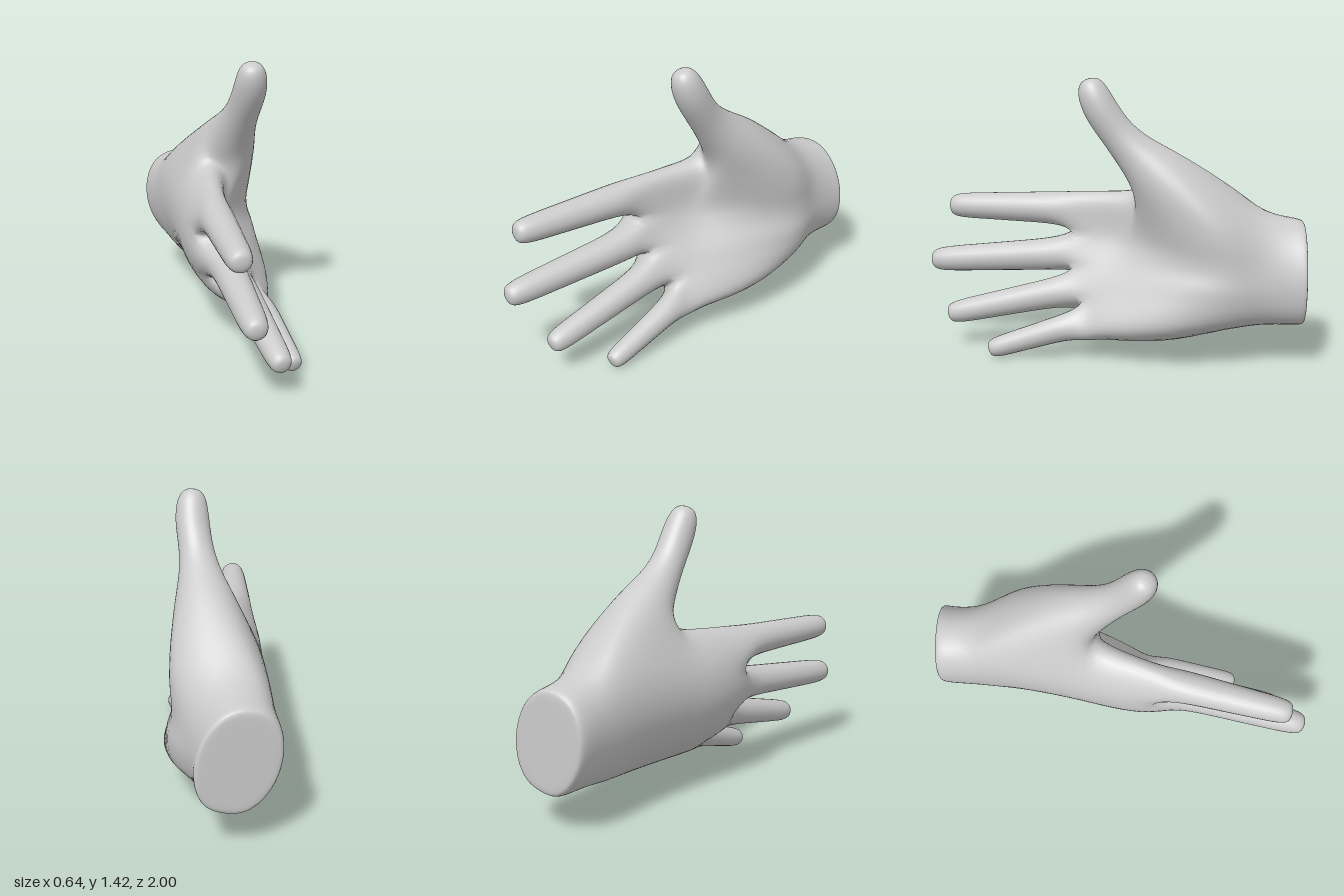
import * as THREE from 'three';

const V = (x, y, z) => new THREE.Vector3(x, y, z);
const mean = (pts) => pts.reduce((s, p) => s.add(p), V(0, 0, 0)).divideScalar(pts.length);

// Palm and wrist sections, wrist first:
// z, top y, bottom y, x at top / middle / bottom, half thickness, cut slant, thumb ball, heel
const SECTIONS = [
  [-0.955, 0.67, 0.25, -0.165, -0.12, -0.065, 0.165, 0.26, 0, 0],
  [-0.955, 0.715, 0.205, -0.175, -0.12, -0.055, 0.197, 0.26, 0, 0],
  [-0.9, 0.725, 0.2, -0.175, -0.12, -0.055, 0.197, 0.22, 0, 0],
  [-0.75, 0.752, 0.2, -0.13, -0.088, -0.035, 0.2, 0.1, 0.01, 0.01],
  [-0.61, 0.87, 0.18, -0.06, -0.072, 0, 0.2, 0, 0.13, 0.12],
  [-0.37, 0.875, 0.145, -0.02, -0.07, 0.16, 0.17, 0, 0.135, 0.1],
  [-0.13, 0.84, 0.13, -0.01, -0.08, 0.19, 0.135, 0, 0.01, 0.08],
  [0, 0.825, 0.128, -0.025, -0.085, 0.195, 0.125, 0, 0, 0.055],
  [0.15, 0.815, 0.112, -0.04, -0.065, 0.215, 0.112, 0, 0, 0.015],
];
// Columns run from the index side to the little finger, two per finger
const COLUMNS = [0, 0.15, 0.3, 0.45, 0.59, 0.7, 0.81, 0.9, 1];
const KNUCKLE_Z = [0.2, 0.22, 0.22, 0.22, 0.2, 0.17, 0.105, 0.1, 0.08];
// How far each column follows the swellings of the thumb ball and the heel of the hand
const BALL = [0.5, 1, 1, 0.5, 0.1, 0, 0, 0, 0];
const HEEL = [0, 0, 0, 0.3, 0.7, 1, 1, 1, 0.8];
const RING = 18;
const THUMB_ROW = 4; // the thumb grows from the gap between sections 4 and 6

// Fingers: base point, tip point, base radius, tip radius
const FINGERS = [
  [V(-0.066, 0.72, 0.32), V(-0.033, 0.705, 0.91), 0.083, 0.062],
  [V(-0.022, 0.484, 0.32), V(0.026, 0.414, 1.0), 0.083, 0.062],
  [V(0.075, 0.307, 0.28), V(0.17, 0.168, 0.85), 0.076, 0.057],
  [V(0.192, 0.165, 0.19), V(0.279, 0.034, 0.58), 0.066, 0.049],
];
const THUMB = [
  [V(0.067, 0.95, -0.255), 0.15],
  [V(0.09, 1.045, -0.15), 0.105],
  [V(0.115, 1.15, -0.055), 0.081],
  [V(0.14, 1.27, 0.025), 0.085],
  [V(0.143, 1.37, 0.07), 0.074],
  [V(0.137, 1.42, 0.085), 0.038],
];

// One closed ring: down the back of the hand, then up the palm side
function sectionRing([z, top, bottom, xt, xm, xb, half, slant, ball, heel], last) {
  const back = [], front = [];
  COLUMNS.forEach((s, c) => {
    const x = xt * 2 * (s - 0.5) * (s - 1) + xm * 4 * s * (1 - s) + xb * 2 * s * (s - 0.5);
    const dx = xt * (4 * s - 3) + xm * (4 - 8 * s) + xb * (4 * s - 1);
    const y = top + (bottom - top) * s, dy = bottom - top;
    const w = half * Math.sqrt(1.15 - (2 * s - 1) ** 2) / 1.07 / Math.hypot(dx, dy);
    const at = (side, push) => {
      const px = x + side * dy * w + push;
      return V(px, y - side * dx * w, last ? KNUCKLE_Z[c] : z - slant * (px + 0.12));
    };
    back.push(at(1, 0));
    front.unshift(at(-1, ball * BALL[c] + heel * HEEL[c]));
  });
  return [...back, ...front];
}

// Coarse cage of the whole hand: one continuous skin
function buildCage() {
  const verts = [], faces = [];
  const add = (pts) => pts.map((p) => verts.push(p) - 1);
  const bridge = (a, b, skip = []) => a.forEach((v, k) => {
    const n = (k + 1) % a.length;
    if (!skip.includes(k)) faces.push([v, a[n], b[n], b[k]]);
  });

  // Grow a finger from a loop of existing corners through [centre, radius] stations
  const grow = (loop, stations) => {
    const n = loop.length, step = 2 * Math.PI / n;
    const base = mean(loop.map((i) => verts[i]));
    const path = [base, ...stations.map((s) => s[0])];
    const scale = 3 / (2 + Math.cos(step)); // makes up for the shrinkage of smoothing
    let start = null, previous = loop;
    stations.forEach(([centre, radius], i) => {
      const axis = path[Math.min(i + 2, path.length - 1)].clone().sub(path[i]).normalize();
      const u = V(1, 0, 0).addScaledVector(axis, -axis.x).normalize();
      const v = axis.clone().cross(u);
      if (start === null) {
        // Line the first ring up with the loop, so the skin does not twist
        let sin = 0, cos = 0;
        loop.forEach((id, k) => {
          const d = verts[id].clone().sub(base);
          const a = Math.atan2(d.dot(v), d.dot(u)) - k * step;
          sin += Math.sin(a);
          cos += Math.cos(a);
        });
        start = Math.atan2(sin, cos);
      }
      const ring = add(loop.map((_, k) => centre.clone()
        .addScaledVector(u, Math.cos(start + k * step) * radius * scale)
        .addScaledVector(v, Math.sin(start + k * step) * radius * scale)));
      bridge(previous, ring);
      previous = ring;
    });
    faces.push(previous);
  };

  // Wrist and palm, open where the thumb starts
  const rings = SECTIONS.map((s, i) => add(sectionRing(s, i === SECTIONS.length - 1)));
  for (let j = 0; j + 1 < rings.length; j++) {
    const open = j === THUMB_ROW || j === THUMB_ROW + 1;
    bridge(rings[j], rings[j + 1], open ? [0, 15, 16, 17] : []);
  }
  faces.push([...rings[0]].reverse());

  // Four fingers
  const end = rings[rings.length - 1];
  FINGERS.forEach(([from, to, r0, r1], i) => {
    const c = 2 * i;
    const loop = [c, c + 1, c + 2, RING - 3 - c, RING - 2 - c, RING - 1 - c].map((k) => end[k]);
    const stations = [0, 0.33, 0.66, 0.93].map((t) => [from.clone().lerp(to, t), r0 + (r1 - r0) * t]);
    grow(loop, [...stations, [to.clone(), r1 * 0.65]]);
  });

  // Thumb
  const [a, b, c] = rings.slice(THUMB_ROW, THUMB_ROW + 3);
  grow([c[1], c[0], c[17], c[16], c[15], b[15], a[15], a[16], a[17], a[0], a[1], b[1]], THUMB);
  return { verts, faces };
}

// One round of Catmull-Clark smoothing of a closed mesh
function smooth({ verts, faces }) {
  const centres = faces.map((f) => mean(f.map((i) => verts[i])));
  const edges = new Map();
  const key = (a, b) => Math.min(a, b) + '_' + Math.max(a, b);
  const around = verts.map(() => ({ centres: [], mids: [] }));
  faces.forEach((f, fi) => f.forEach((a, i) => {
    const b = f[(i + 1) % f.length], id = key(a, b);
    around[a].centres.push(centres[fi]);
    if (!edges.has(id)) {
      const mid = verts[a].clone().lerp(verts[b], 0.5);
      edges.set(id, { a, b, sides: [], index: verts.length + faces.length + edges.size });
      around[a].mids.push(mid);
      around[b].mids.push(mid);
    }
    edges.get(id).sides.push(centres[fi]);
  }));
  const moved = verts.map((p, i) => {
    const n = around[i].centres.length;
    if (!n) return p;
    return mean(around[i].centres).addScaledVector(mean(around[i].mids), 2)
      .addScaledVector(p, n - 3).divideScalar(n);
  });
  const edgePoints = [...edges.values()].map((e) => mean([verts[e.a], verts[e.b], ...e.sides]));
  const quads = [];
  faces.forEach((f, fi) => f.forEach((a, i) => {
    const next = f[(i + 1) % f.length], prev = f[(i + f.length - 1) % f.length];
    quads.push([a, edges.get(key(a, next)).index, verts.length + fi, edges.get(key(prev, a)).index]);
  }));
  return { verts: [...moved, ...centres, ...edgePoints], faces: quads };
}

export function createModel() {
  let mesh = buildCage();
  for (let i = 0; i < 2; i++) mesh = smooth(mesh);

  const geometry = new THREE.BufferGeometry().setFromPoints(mesh.verts);
  geometry.setIndex(mesh.faces.flatMap(([a, b, c, d]) => [a, b, c, a, c, d]));
  geometry.computeVertexNormals();

  const hand = new THREE.Mesh(geometry, new THREE.MeshStandardMaterial({ color: 0xcccccc }));
  hand.name = 'hand';
  const group = new THREE.Group();
  group.name = 'openHand';
  group.add(hand);
  return group;
}
